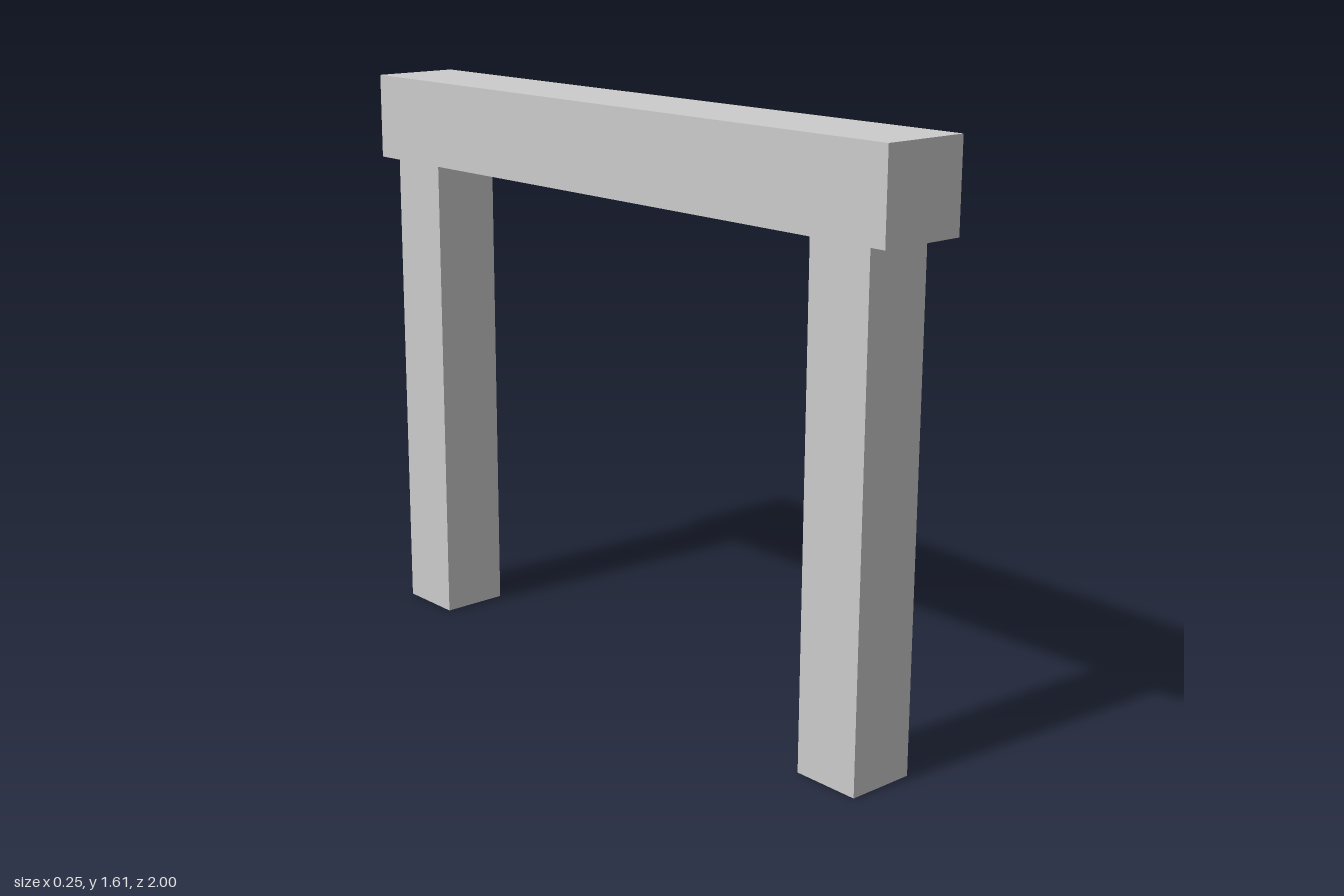
import * as THREE from 'three';

const BEAM_BOTTOM = 1.37;
const BEAM_TOP = 1.61;

export function createModel() {
  const model = new THREE.Group();
  model.name = 'postAndBeamFrame';
  const material = new THREE.MeshStandardMaterial({ color: 0xcccccc, flatShading: true });

  // Box spanning y0..y1, centred on x = 0 and the given z
  const addBlock = (name, width, y0, y1, depth, z) => {
    const mesh = new THREE.Mesh(new THREE.BoxGeometry(width, y1 - y0, depth), material);
    mesh.name = name;
    mesh.position.set(0, (y0 + y1) / 2, z);
    model.add(mesh);
  };

  // Top beam, overhanging the posts
  addBlock('beam', 0.252, BEAM_BOTTOM, BEAM_TOP, 2, 0);

  // Posts, set slightly unevenly under the beam
  addBlock('frontPost', 0.194, 0, BEAM_BOTTOM, 0.192, 0.833);
  addBlock('backPost', 0.194, 0, BEAM_BOTTOM, 0.196, -0.857);

  return model;
}
